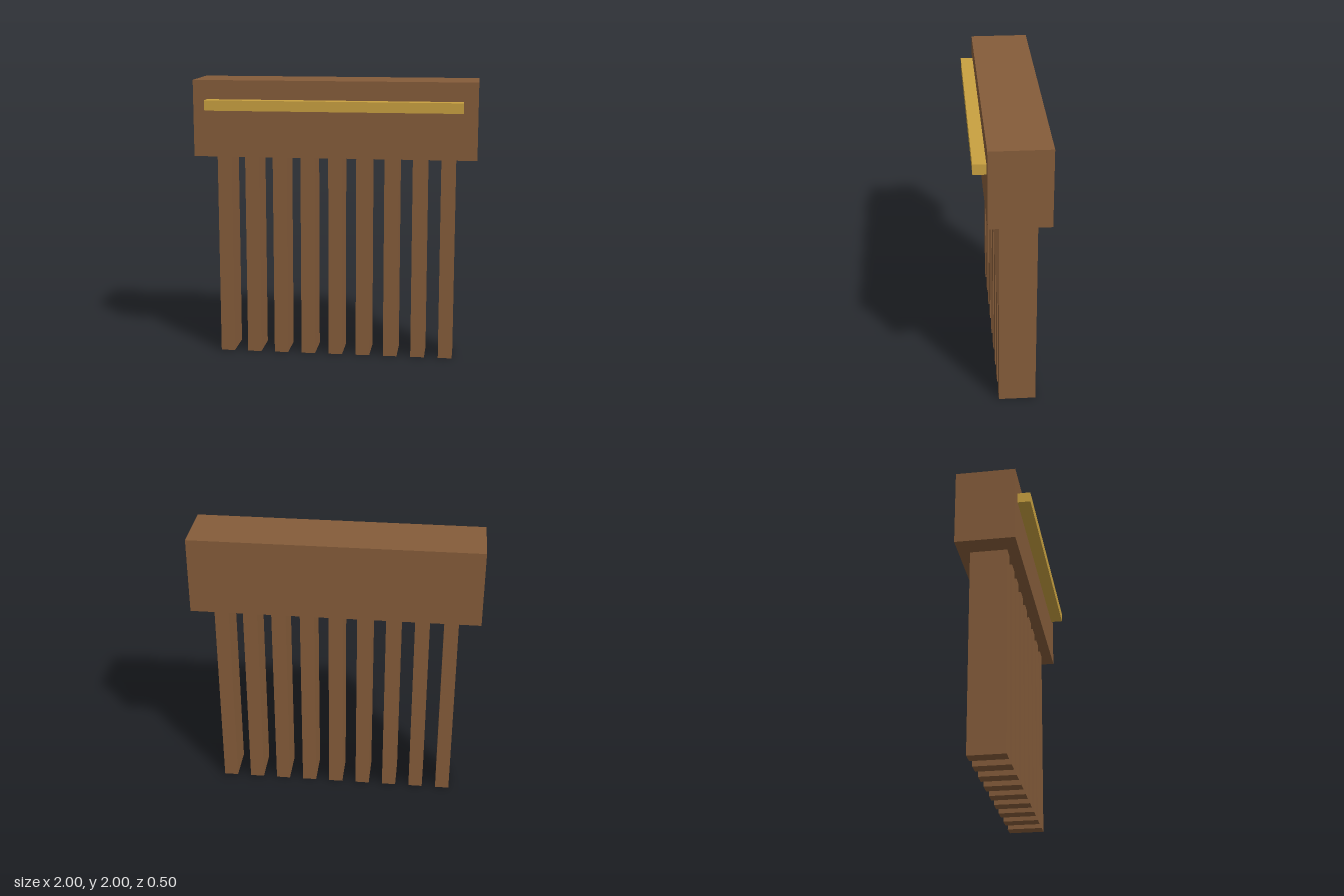
import * as THREE from 'three';

export function createModel() {
  const model = new THREE.Group();
  const wood = new THREE.MeshStandardMaterial({ color: 0x855c3a });
  wood.name = 'brown wood';
  const gold = new THREE.MeshStandardMaterial({ color: 0xc8a040 });
  gold.name = 'gold';

  // Box given by its min and max corners
  function addBox(name, material, [x0, y0, z0], [x1, y1, z1]) {
    const mesh = new THREE.Mesh(new THREE.BoxGeometry(x1 - x0, y1 - y0, z1 - z0), material);
    mesh.position.set((x0 + x1) / 2, (y0 + y1) / 2, (z0 + z1) / 2);
    mesh.name = name;
    model.add(mesh);
  }

  // Comb spine with a gold bar on its front
  addBox('spine', wood, [-1, 1.46, -0.25], [1, 2, 0.162]);
  addBox('goldBar', gold, [-0.9, 1.794, 0.162], [0.9, 1.866, 0.25]);

  // Nine evenly spaced teeth
  for (let i = 0; i < 9; i++) {
    const x = -0.8 + i * 0.2;
    addBox(`tooth${i + 1}`, wood, [x - 0.05, 0, -0.172], [x + 0.05, 1.46, 0.084]);
  }

  return model;
}
